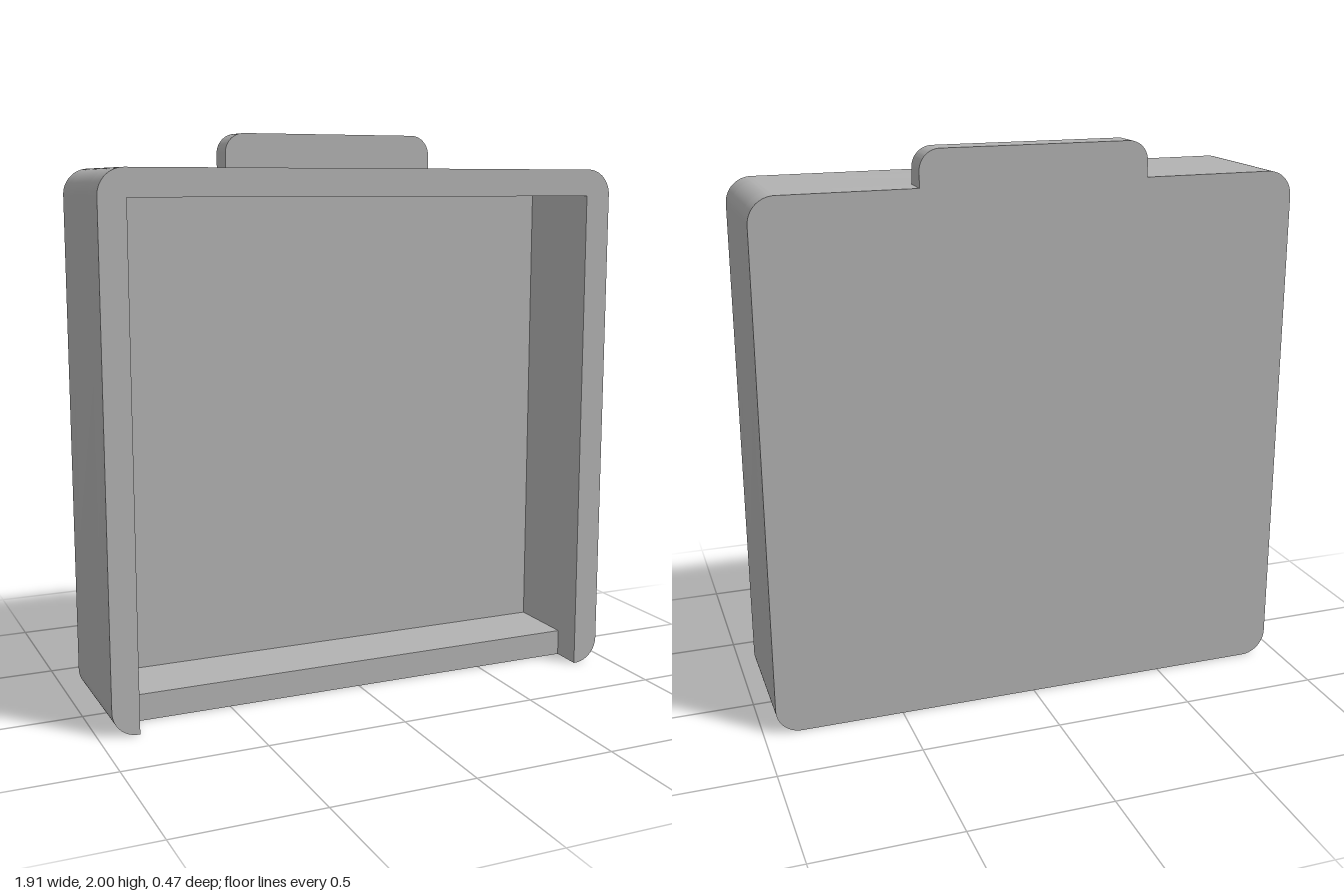
import * as THREE from 'three';
import { toCreasedNormals } from 'three/addons/utils/BufferGeometryUtils.js';

const W = 0.955, H = 1.875;             // body half width and height
const R = 0.09;                         // body corner radius
const IN_W = 0.86, IN_TOP = 1.78, SILL = 0.095; // opening
const Z_BACK = -0.235, Z_FLOOR = -0.14, Z_SILL = 0.12, Z_FRONT = 0.235;
const TAB_W = 0.4, TAB_TOP = 2, TAB_R = 0.07;

export function createModel() {
  const group = new THREE.Group();
  const grey = new THREE.MeshStandardMaterial({ color: 0xb2b2b2 });
  grey.name = 'plain grey';

  // Extrude a front outline between two depths, keeping the rounds smooth
  function slab(name, shape, z0, z1) {
    const geo = new THREE.ExtrudeGeometry(shape, { depth: z1 - z0, bevelEnabled: false, curveSegments: 10 });
    geo.translate(0, 0, z0);
    const mesh = new THREE.Mesh(toCreasedNormals(geo, 0.5), grey);
    mesh.name = name;
    group.add(mesh);
  }

  // Rounded outline of the body, optionally with the tab on top
  function outline(withTab) {
    const s = new THREE.Shape();
    s.moveTo(-W + R, 0);
    s.lineTo(W - R, 0);
    s.absarc(W - R, R, R, -Math.PI / 2, 0);
    s.lineTo(W, H - R);
    s.absarc(W - R, H - R, R, 0, Math.PI / 2);
    if (withTab) {
      s.lineTo(TAB_W, H);
      s.lineTo(TAB_W, TAB_TOP - TAB_R);
      s.absarc(TAB_W - TAB_R, TAB_TOP - TAB_R, TAB_R, 0, Math.PI / 2);
      s.absarc(-TAB_W + TAB_R, TAB_TOP - TAB_R, TAB_R, Math.PI / 2, Math.PI);
      s.lineTo(-TAB_W, H);
    }
    s.absarc(-W + R, H - R, R, Math.PI / 2, Math.PI);
    s.lineTo(-W, R);
    s.absarc(-W + R, R, R, Math.PI, Math.PI * 1.5);
    return s;
  }

  // Back panel and tab in one flush piece
  slab('backPanelWithTab', outline(true), Z_BACK, Z_FLOOR);

  // Closed frame: side walls, top wall and the sill
  const frame = outline(false);
  const hole = new THREE.Path();
  hole.moveTo(-IN_W, SILL);
  hole.lineTo(-IN_W, IN_TOP);
  hole.lineTo(IN_W, IN_TOP);
  hole.lineTo(IN_W, SILL);
  hole.closePath();
  frame.holes.push(hole);
  slab('frameWithSill', frame, Z_FLOOR, Z_SILL);

  // Front rim, open at the bottom in front of the sill
  const rim = new THREE.Shape();
  rim.moveTo(IN_W, 0);
  rim.lineTo(W - R, 0);
  rim.absarc(W - R, R, R, -Math.PI / 2, 0);
  rim.absarc(W - R, H - R, R, 0, Math.PI / 2);
  rim.absarc(-W + R, H - R, R, Math.PI / 2, Math.PI);
  rim.absarc(-W + R, R, R, Math.PI, Math.PI * 1.5);
  rim.lineTo(-IN_W, 0);
  rim.lineTo(-IN_W, IN_TOP);
  rim.lineTo(IN_W, IN_TOP);
  rim.closePath();
  slab('frontRim', rim, Z_SILL, Z_FRONT);

  return group;
}
